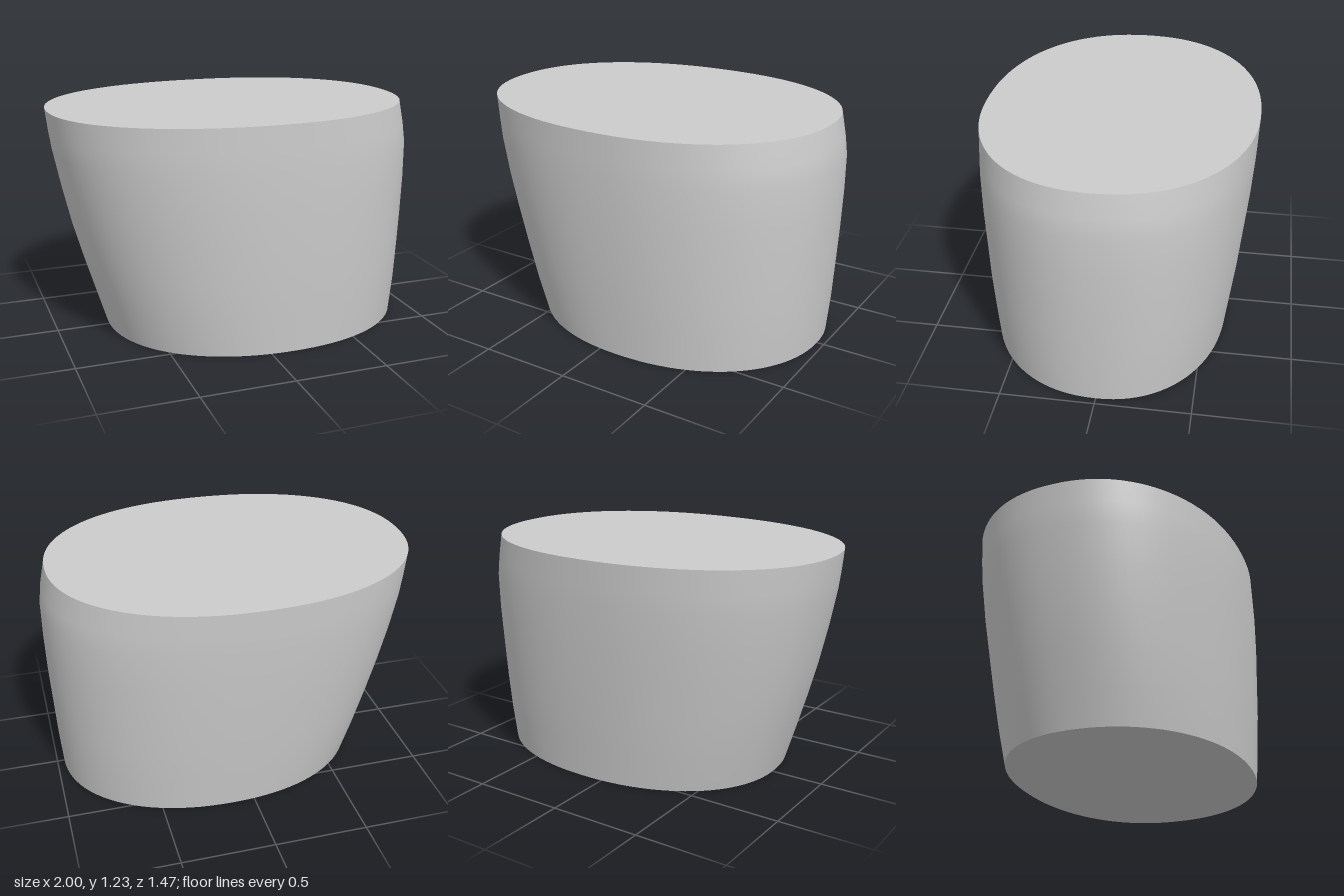
import * as THREE from 'three';

// Cross-sections: y, xMin, xMax, zMin, zMax, x of widest point, roundness exponent
const SECTIONS = [
  [0.00, -0.71, 0.96, -0.62, 0.68, 0.12, 2.15],
  [0.20, -0.77, 0.975, -0.645, 0.695, 0.10, 2.2],
  [0.40, -0.83, 0.985, -0.67, 0.71, 0.09, 2.2],
  [0.60, -0.885, 0.995, -0.69, 0.72, 0.07, 2.2],
  [0.80, -0.93, 1.0, -0.71, 0.73, 0.05, 2.22],
  [1.00, -0.97, 1.0, -0.725, 0.735, 0.03, 2.22],
  [1.10, -0.985, 0.987, -0.73, 0.735, 0.02, 2.2],
  [1.23, -1.0, 0.96, -0.735, 0.735, 0.01, 2.18],
];
const SEGMENTS = 96;

// Points round one section, each quadrant a superellipse
function ring([y, xMin, xMax, zMin, zMax, cx, n]) {
  const points = [];
  for (let i = 0; i <= SEGMENTS; i++) {
    const a = ((i % SEGMENTS) / SEGMENTS) * Math.PI * 2;
    const c = Math.cos(a), s = Math.sin(a);
    const u = Math.sign(c) * Math.abs(c) ** (2 / n);
    const v = Math.sign(s) * Math.abs(s) ** (2 / n);
    points.push(new THREE.Vector3(cx + u * (u > 0 ? xMax - cx : cx - xMin), y, v * (v > 0 ? zMax : -zMin)));
  }
  return points;
}

// Smooth wall lofted through the sections
function wallGeometry(rings) {
  const index = [], row = SEGMENTS + 1;
  for (let j = 0; j < rings.length - 1; j++) {
    for (let i = 0; i < SEGMENTS; i++) {
      const a = j * row + i, b = a + row;
      index.push(a, b, a + 1, b, b + 1, a + 1);
    }
  }
  const geometry = new THREE.BufferGeometry().setFromPoints(rings.flat());
  geometry.setIndex(index);
  geometry.computeVertexNormals();
  // Match the normals along the seam
  const normal = geometry.attributes.normal;
  for (let j = 0; j < rings.length; j++) {
    const first = j * row, last = first + SEGMENTS;
    const sum = new THREE.Vector3().fromBufferAttribute(normal, first)
      .add(new THREE.Vector3().fromBufferAttribute(normal, last)).normalize();
    normal.setXYZ(first, sum.x, sum.y, sum.z);
    normal.setXYZ(last, sum.x, sum.y, sum.z);
  }
  return geometry;
}

// Flat lid as a fan round the section's middle
function capGeometry(points, up) {
  const index = [];
  for (let i = 1; i <= SEGMENTS; i++) index.push(0, up ? i + 1 : i, up ? i : i + 1);
  const geometry = new THREE.BufferGeometry().setFromPoints([new THREE.Vector3(0.1, points[0].y, 0), ...points]);
  geometry.setIndex(index);
  geometry.computeVertexNormals();
  return geometry;
}

export function createModel() {
  const model = new THREE.Group();
  model.name = 'ovalBlock';
  const material = new THREE.MeshStandardMaterial({ color: 0xcccccc });
  const rings = SECTIONS.map(ring);
  const add = (name, geometry) => {
    const mesh = new THREE.Mesh(geometry, material);
    mesh.name = name;
    model.add(mesh);
  };
  add('sideWall', wallGeometry(rings));
  add('topFace', capGeometry(rings[rings.length - 1], true));
  add('bottomFace', capGeometry(rings[0], false));
  return model;
}
